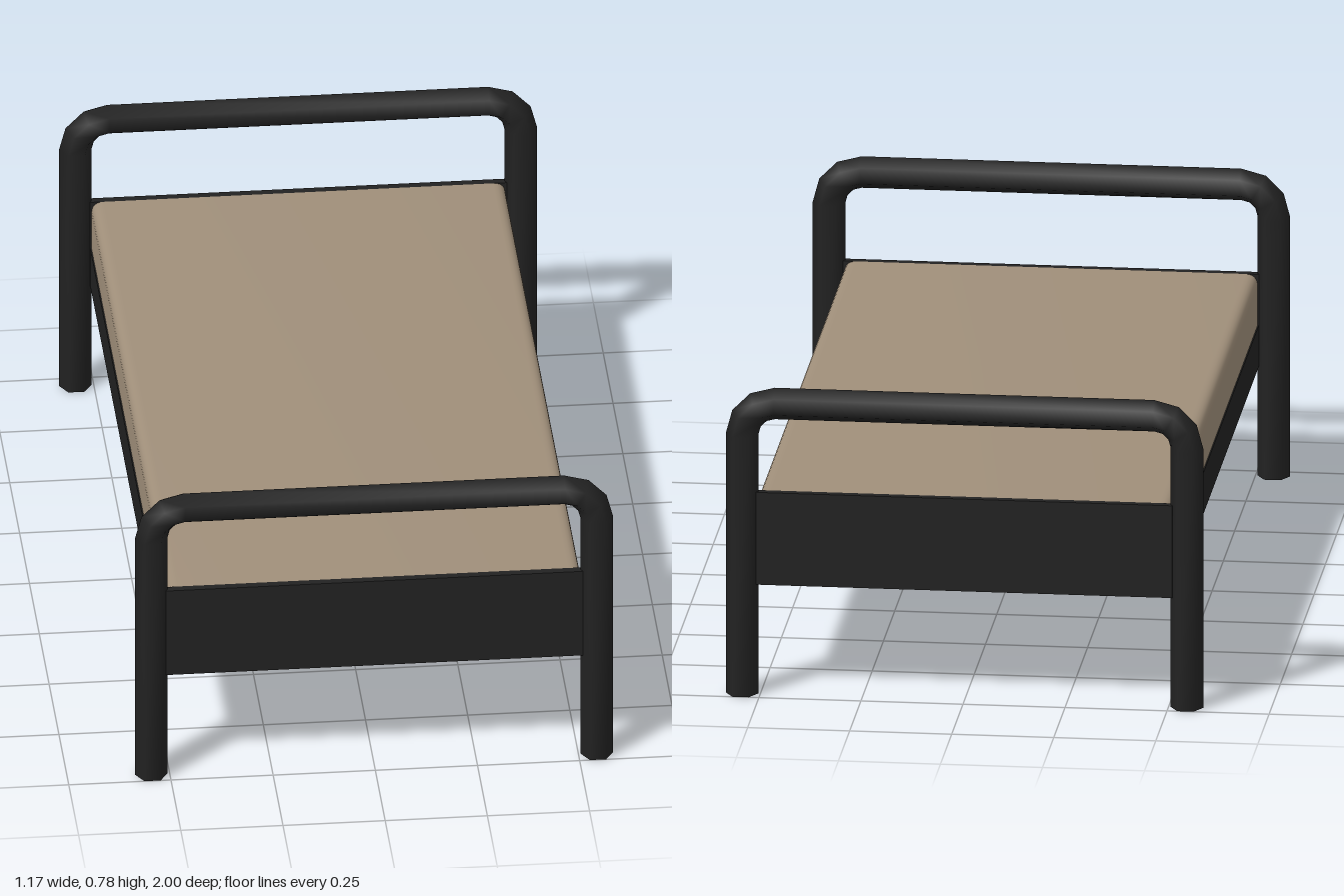
import * as THREE from 'three';
import { toCreasedNormals } from 'three/addons/utils/BufferGeometryUtils.js';

const LEG_X = 0.545, RAIL_Y = 0.74, BEND = 0.08, TUBE_R = 0.04, END_Z = 0.965;

// Hexagonal tube swept along an upside-down U, closed at both feet
function archGeometry() {
  const path = [[LEG_X, 0, 0]]; // x, y, direction of the outward normal
  for (const side of [0, 1]) {
    for (let i = 0; i <= 3; i++) {
      const a = (side * 3 + i) * Math.PI / 6;
      const cx = (side ? -1 : 1) * (LEG_X - BEND);
      path.push([cx + BEND * Math.cos(a), RAIL_Y - BEND + BEND * Math.sin(a), a]);
    }
  }
  path.push([-LEG_X, 0, Math.PI]);

  const pos = [], index = [];
  const ring = ([x, y, a]) => {
    for (let k = 0; k < 6; k++) {
      const t = k * Math.PI / 3, out = TUBE_R * Math.cos(t);
      pos.push(x + out * Math.cos(a), y + out * Math.sin(a), TUBE_R * Math.sin(t));
    }
  };
  path.forEach(ring);
  for (let i = 0; i < path.length - 1; i++) {
    for (let k = 0; k < 6; k++) {
      const a = i * 6 + k, b = i * 6 + (k + 1) % 6;
      index.push(a, a + 6, b, b, a + 6, b + 6);
    }
  }
  // Feet
  for (const p of [path[0], path[path.length - 1]]) {
    const s = pos.length / 3, flip = p[2] > 1;
    ring(p);
    for (let k = 1; k < 5; k++) {
      index.push(s, flip ? s + k + 1 : s + k, flip ? s + k : s + k + 1);
    }
  }
  const g = new THREE.BufferGeometry();
  g.setAttribute('position', new THREE.Float32BufferAttribute(pos, 3));
  g.setIndex(index);
  g.computeVertexNormals();
  return g;
}

// Slab with softly rounded upper long edges
function mattressGeometry() {
  const w = 0.506, bottom = 0.279, top = 0.515, r = 0.03, len = 1.91;
  const s = new THREE.Shape();
  s.moveTo(-w, bottom);
  s.lineTo(w, bottom);
  s.lineTo(w, top - r);
  s.quadraticCurveTo(w, top, w - r, top);
  s.lineTo(-w + r, top);
  s.quadraticCurveTo(-w, top, -w, top - r);
  s.closePath();
  const g = new THREE.ExtrudeGeometry(s, { depth: len, bevelEnabled: false, curveSegments: 6 });
  g.translate(0, 0, -len / 2);
  return toCreasedNormals(g, 0.7);
}

export function createModel() {
  const black = new THREE.MeshStandardMaterial({ color: 0x222222 });
  black.name = 'black metal';
  const tan = new THREE.MeshStandardMaterial({ color: 0xa08f7a });
  tan.name = 'tan fabric';

  const model = new THREE.Group();
  model.name = 'bed';
  const add = (name, geometry, material, x = 0, y = 0, z = 0) => {
    const mesh = new THREE.Mesh(geometry, material);
    mesh.name = name;
    mesh.position.set(x, y, z);
    model.add(mesh);
  };

  // Tubular end frames with their panels
  const arch = archGeometry();
  const panel = new THREE.BoxGeometry(1.02, 0.235, 0.02);
  for (const [end, z] of [['front', END_Z], ['back', -END_Z]]) {
    add(end + 'Frame', arch, black, 0, 0, z);
    add(end + 'Panel', panel, black, 0, 0.3975, z);
  }

  // Side rails
  const rail = new THREE.BoxGeometry(0.01, 0.105, 1.92);
  add('leftRail', rail, black, 0.504, 0.3325, 0);
  add('rightRail', rail, black, -0.504, 0.3325, 0);

  add('mattress', mattressGeometry(), tan);
  return model;
}
